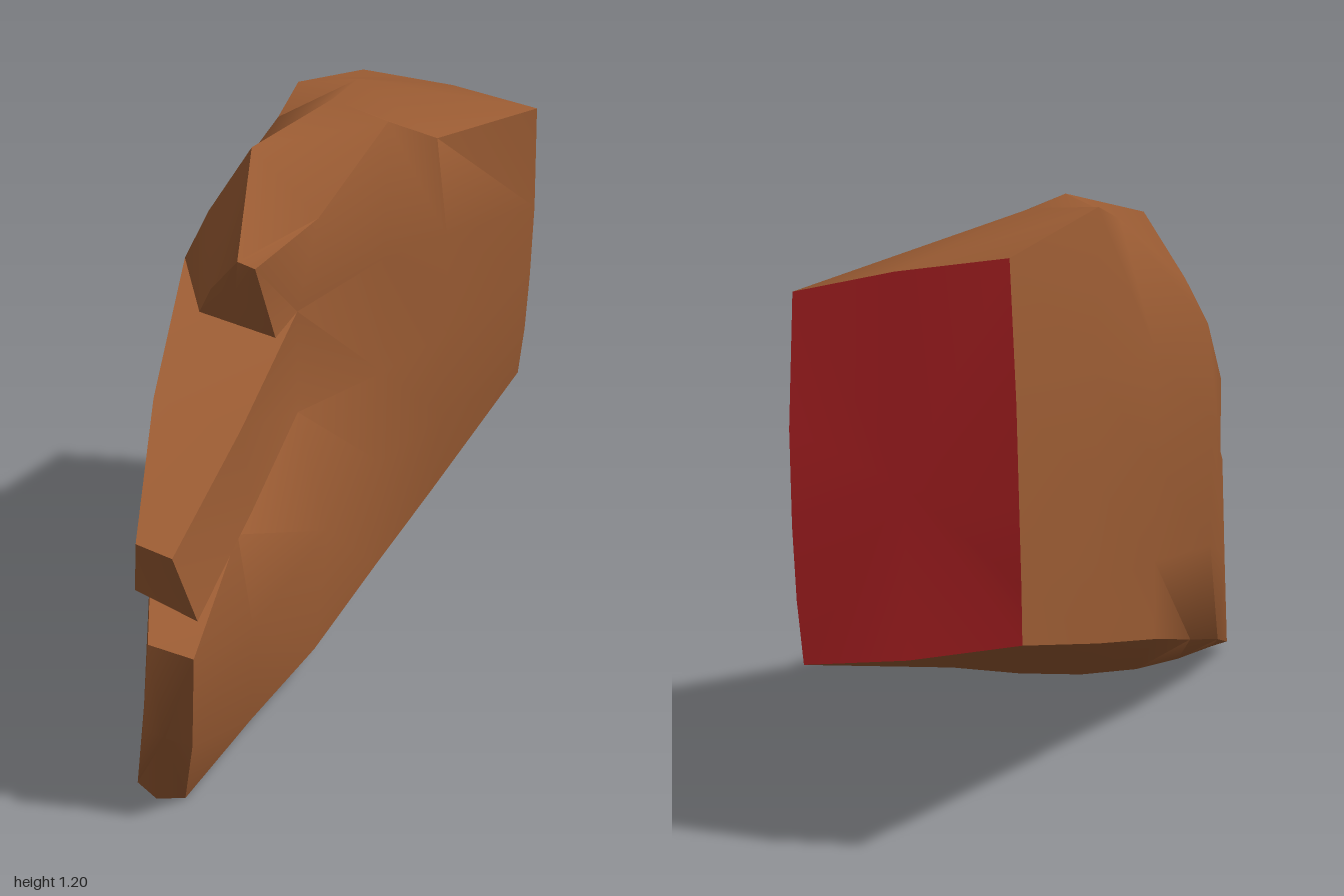
import * as THREE from 'three';
import { toCreasedNormals } from 'three/addons/utils/BufferGeometryUtils.js';

// Cross-sections from the cut end to the knuckles. Each ring runs: ridge, front top,
// front levels 1-3, front bottom, bottom middle, back bottom, back levels 3-1, back top.
const PALM = [
  [[.43, 1.1, -.77], [.61, 1.055, -.655], [.625, .8, -.71], [.625, .62, -.74], [.62, .48, -.76], [.61, .36, -.78],
    [.43, .39, -.91], [.23, .43, -1], [.23, .54, -.99], [.23, .67, -.97], [.23, .87, -.94], [.23, 1.13, -.87]],
  [[.1, 1.19, -.38], [.24, 1.08, -.2], [.27, .85, -.22], [.28, .62, -.24], [.27, .42, -.25], [.25, .225, -.28],
    [.13, .235, -.4], [0, .33, -.57], [0, .45, -.57], [0, .65, -.56], [0, .87, -.54], [-.04, 1.19, -.37]],
  [[-.03, 1.2, -.07], [.09, 1.15, -.05], [.08, .85, -.04], [.07, .6, -.01], [.06, .4, .01], [.05, .155, 0],
    [-.06, .155, -.1], [-.2, .25, -.2], [-.2, .42, -.2], [-.2, .64, -.2], [-.2, .87, -.2], [-.13, 1.15, -.16]],
  [[-.25, 1.145, .15], [-.12, 1, .2], [-.16, .795, .17], [-.16, .575, .17], [-.11, .33, .24], [-.15, .08, .28],
    [-.25, .09, .2], [-.35, .18, .09], [-.39, .4, .07], [-.39, .685, .06], [-.38, .9, .07], [-.33, 1, .08]],
];

// Each finger grows from some of the knuckle points, through further rings, to its tip.
const FINGERS = [
  { name: 'upperFinger', base: [0, 1, 2, 10, 11], rings: [
    [[-.34, .975, .45], [-.31, .965, .48], [-.26, .81, .43], [-.405, .86, .38], [-.385, .91, .4]]] },
  { name: 'middleFinger', base: [2, 3, 9, 10], rings: [
    [[-.36, .67, .58], [-.34, .5, .58], [-.52, .545, .5], [-.52, .72, .5]],
    [[-.57, .56, 1], [-.52, .425, .97], [-.63, .485, .94], [-.63, .58, .96]]] },
  { name: 'lowerFinger', base: [3, 4, 5, 6, 7, 8, 9], rings: [
    [[-.37, .453, .58], [-.34, .25, .58], [-.34, .04, .54], [-.42, .04, .5], [-.5, .1, .43], [-.52, .3, .45], [-.52, .53, .48]],
    [[-.53, .355, .98], [-.53, .17, .95], [-.52, 0, .8], [-.575, 0, .79], [-.605, .02, .75], [-.615, .19, .9], [-.61, .38, .95]]] },
];

// Skin between neighbouring rings
function loft(out, rings) {
  for (let i = 0; i < rings.length - 1; i++) {
    const p = rings[i], q = rings[i + 1], n = p.length;
    for (let j = 0; j < n; j++) {
      const k = (j + 1) % n;
      out.push(...p[j], ...q[j], ...p[k], ...p[k], ...q[j], ...q[k]);
    }
  }
}

// Fan that closes a ring
function cap(out, ring, reverse) {
  const n = ring.length;
  const c = [0, 1, 2].map(a => ring.reduce((s, p) => s + p[a], 0) / n);
  for (let j = 0; j < n; j++) {
    const a = ring[j], b = ring[(j + 1) % n];
    out.push(...c, ...(reverse ? b : a), ...(reverse ? a : b));
  }
}

function geometryOf(positions, normals) {
  const g = new THREE.BufferGeometry();
  g.setAttribute('position', new THREE.Float32BufferAttribute(positions, 3));
  if (normals) g.setAttribute('normal', new THREE.Float32BufferAttribute(normals, 3));
  else g.computeVertexNormals();
  return g;
}

export function createModel() {
  const group = new THREE.Group();
  const skin = new THREE.MeshStandardMaterial({ color: 0x985a32 });
  skin.name = 'brown skin';
  const flesh = new THREE.MeshStandardMaterial({ color: 0xac2022 });
  flesh.name = 'red flesh';

  const add = (name, geometry, material) => {
    const mesh = new THREE.Mesh(geometry, material);
    mesh.name = name;
    group.add(mesh);
  };

  // Palm and fingers, gathered together so the shading runs on across the knuckles
  const all = [], parts = [];
  loft(all, PALM);
  parts.push(['palm', 0, all.length]);
  const knuckles = PALM[PALM.length - 1];
  for (const { name, base, rings } of FINGERS) {
    const start = all.length;
    loft(all, [base.map(i => knuckles[i]), ...rings]);
    cap(all, rings[rings.length - 1], true);
    parts.push([name, start, all.length]);
  }
  const smooth = toCreasedNormals(geometryOf(all), 1.05);
  const pos = smooth.attributes.position.array, nor = smooth.attributes.normal.array;
  for (const [name, from, to] of parts) {
    add(name, geometryOf(pos.slice(from, to), nor.slice(from, to)), skin);
  }

  // Cut end of the wrist
  const cut = [];
  cap(cut, PALM[0], false);
  add('cutEnd', toCreasedNormals(geometryOf(cut), 0.75), flesh);

  return group;
}
